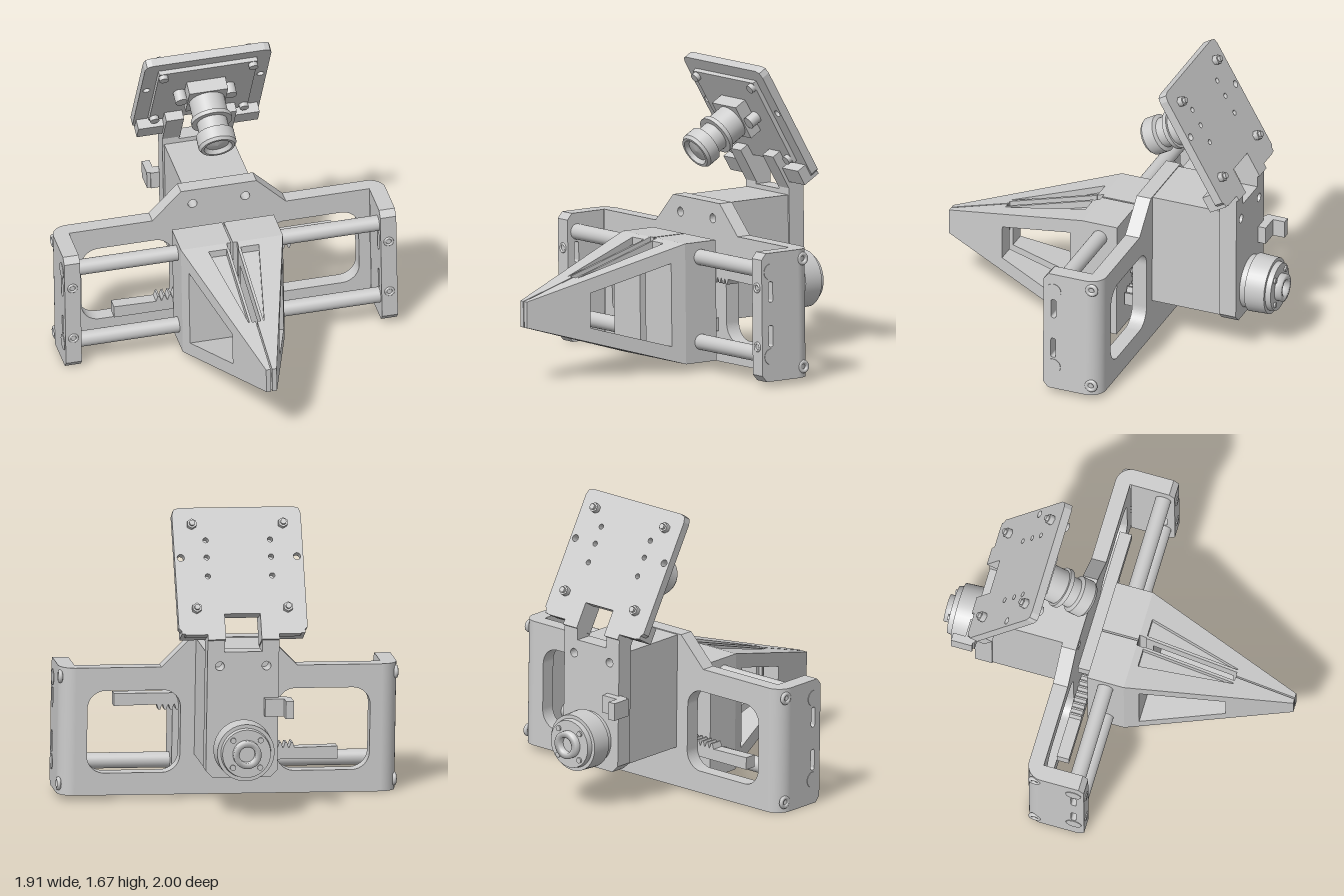
import * as THREE from 'three';

const grey = new THREE.MeshStandardMaterial({ color: 0xcccccc, side: THREE.DoubleSide });

function add(parent, name, geometry, x = 0, y = 0, z = 0) {
  const mesh = new THREE.Mesh(geometry, grey);
  mesh.name = name;
  mesh.position.set(x, y, z);
  parent.add(mesh);
  return mesh;
}

// Box given by its lower and upper corners
function block(parent, name, [x0, y0, z0], [x1, y1, z1]) {
  return add(parent, name, new THREE.BoxGeometry(x1 - x0, y1 - y0, z1 - z0),
    (x0 + x1) / 2, (y0 + y1) / 2, (z0 + z1) / 2);
}

// Cylinder along z from z0 to z1
function rod(parent, name, r0, r1, x, y, z0, z1, sides = 32) {
  const g = new THREE.CylinderGeometry(r1, r0, z1 - z0, sides).rotateX(Math.PI / 2);
  return add(parent, name, g, x, y, (z0 + z1) / 2);
}

const poly = (pts) => new THREE.Shape(pts.map(([x, y]) => new THREE.Vector2(x, y)));
const circle = (x, y, r) => new THREE.Path().absarc(x, y, r, 0, Math.PI * 2, true);
const extrude = (shape, depth) =>
  new THREE.ExtrudeGeometry(shape, { depth, bevelEnabled: false, curveSegments: 10 });

function roundRect(x0, y0, x1, y1, r, Type = THREE.Shape) {
  const p = new Type(), q = Math.PI / 2;
  p.absarc(x1 - r, y0 + r, r, -q, 0);
  p.absarc(x1 - r, y1 - r, r, 0, q);
  p.absarc(x0 + r, y1 - r, r, q, 2 * q);
  p.absarc(x0 + r, y0 + r, r, 2 * q, 3 * q);
  p.closePath();
  return p;
}

// Side profile of [z, y] points, stretched in x between inner(z) and outer(z)
function sideSlab(pts, hole, inner, outer) {
  const flip = (list) => list.map(([z, y]) => [-z, y]);
  const shape = poly(flip(pts));
  if (hole) shape.holes.push(poly(flip(hole)));
  const g = extrude(shape, 1).rotateY(Math.PI / 2);
  const p = g.attributes.position;
  for (let i = 0; i < p.count; i++) {
    const z = p.getZ(i);
    p.setX(i, THREE.MathUtils.lerp(inner(z), outer(z), p.getX(i)));
  }
  g.computeVertexNormals();
  return g;
}

// One gripper finger on the +x side
function makeFinger() {
  const f = new THREE.Group();
  block(f, 'jawBlock', [0.005, 0.04, -0.11], [0.29, 0.715, 0.1]);
  const width = (z) => 0.29 - (z - 0.1) * 0.289;
  const top = (z) => 0.715 - (z - 0.1) * 0.294;
  const low = (z) => 0.04 + (z - 0.1) * 0.294;
  const pocket = (z) => 0.145 - (z - 0.13) * 0.19;
  const part = (a, b, cut = 0) =>
    [[a, low(a) + cut], [b, low(b) + cut], [b, top(b) - cut], [a, top(a) - cut]];
  const hole = [[0.18, 0.145], [0.18, 0.61], [0.64, 0.475], [0.64, 0.28]];
  const flat = (x) => () => x;
  add(f, 'fingerHeel', sideSlab(part(0.1, 0.14), null, flat(0.03), width));
  add(f, 'fingerOuterRail', sideSlab(part(0.14, 0.66), hole, pocket, width));
  add(f, 'fingerInnerRail', sideSlab(part(0.14, 0.66), hole, flat(0.025), flat(0.04)));
  add(f, 'fingerPocketFloor', sideSlab(part(0.14, 0.66, 0.04), hole, flat(0.04), pocket));
  add(f, 'fingerTip', sideSlab(part(0.66, 1), null, flat(0.004), width));
  return f;
}

// End arm of the frame on the +x side, with keyhole slots
function makeEndArm() {
  const arm = new THREE.Group();
  const s = poly([[-0.06, 0.05], [-0.03, 0.015], [0.19, 0.015], [0.19, 0.735], [-0.03, 0.735], [-0.06, 0.7]]);
  for (const [y0, y1] of [[0.46, 0.575], [0.21, 0.33]]) s.holes.push(roundRect(-0.015, y0, 0.015, y1, 0.012, THREE.Path));
  add(arm, 'endArm', extrude(s, 0.09).rotateY(Math.PI / 2), 0.855);
  const corner = new THREE.CylinderGeometry(0.09, 0.09, 0.72, 12, 1, false, Math.PI / 2, Math.PI / 2);
  add(arm, 'frameCorner', corner, 0.855, 0.375, -0.19);
  for (const y of [0.155, 0.63]) {
    add(arm, 'rodEnd', new THREE.CylinderGeometry(0.045, 0.045, 0.004, 24).rotateZ(Math.PI / 2), 0.946, y, 0);
  }
  for (const y of [0.075, 0.68]) {
    add(arm, 'cornerScrew', new THREE.TorusGeometry(0.026, 0.012, 8, 20).rotateY(Math.PI / 2), 0.938, y, -0.225);
  }
  for (const y of [0.21, 0.54]) add(arm, 'armScrew', new THREE.TorusGeometry(0.022, 0.007, 8, 20), 0.9, y, 0.06);
  return arm;
}

// Toothed rack, teeth upwards, running from x0 to x1
function rackGeometry(x0, x1) {
  const pts = [[x1, 0.26], [x1, 0.185], [x0, 0.185], [x0, 0.255]], pitch = 0.033;
  for (let x = x0 + 0.24; x + pitch < x1; x += pitch) {
    pts.push([x, 0.25], [x + 0.01, 0.28], [x + 0.02, 0.28], [x + 0.03, 0.25]);
  }
  return extrude(poly(pts), 0.07);
}

function makeCamera() {
  const cam = new THREE.Group();
  cam.name = 'camera';
  // mounting plate with notch for the bracket opening
  const s = poly([[-0.36, -0.33], [-0.32, -0.37], [-0.11, -0.37], [-0.11, -0.25], [0.11, -0.25], [0.11, -0.37],
    [0.32, -0.37], [0.36, -0.33], [0.36, 0.33], [0.35, 0.36], [0.32, 0.37], [-0.32, 0.37], [-0.35, 0.36], [-0.36, 0.33]]);
  for (const sx of [-1, 1]) {
    for (const v of [-0.03, 0.08, 0.18]) s.holes.push(circle(sx * 0.18, v, 0.015));
    s.holes.push(circle(sx * 0.325, 0.08, 0.02));
  }
  add(cam, 'cameraPlate', extrude(s, 0.05));
  block(cam, 'circuitBoard', [-0.28, -0.25, 0.05], [0.28, 0.3, 0.075]);
  for (const sx of [-1, 1]) {
    const x = (a, b) => (sx > 0 ? [a, b] : [-b, -a]);
    const [a0, a1] = x(0.1, 0.2), [t0, t1] = x(0.2, 0.345);
    block(cam, 'bracketArm', [a0, -0.4, 0], [a1, -0.18, 0.13]);
    block(cam, 'plateFoot', [t0, -0.365, 0], [t1, -0.27, 0.11]);
    for (const v of [-0.22, 0.27]) {
      rod(cam, 'boardScrew', 0.016, 0.016, sx * 0.255, v, -0.045, 0.1, 12);
      rod(cam, 'screwNut', 0.028, 0.028, sx * 0.255, v, -0.03, 0, 6);
      rod(cam, 'screwHead', 0.026, 0.026, sx * 0.255, v, 0.075, 0.1, 16);
    }
    rod(cam, 'lensMountEar', 0.035, 0.035, sx * 0.14, 0.05, 0.075, 0.14, 16);
  }
  block(cam, 'lensMount', [-0.11, -0.05, 0.075], [0.11, 0.16, 0.15]);
  // lens barrel
  const r = [[0, 0.14], [0.1, 0.14], [0.1, 0.26], [0.115, 0.26], [0.115, 0.285], [0.085, 0.285], [0.085, 0.35],
    [0.107, 0.36], [0.107, 0.43], [0.095, 0.447], [0.08, 0.447], [0.065, 0.425], [0, 0.435]];
  // separate straight bands keep the steps crisp
  for (let i = 0; i + 1 < r.length; i++) {
    const band = [r[i], r[i + 1]].map(([a, b]) => new THREE.Vector2(a, b));
    add(cam, 'lensBarrel', new THREE.LatheGeometry(band, 36).rotateX(Math.PI / 2), 0, 0.05);
  }
  cam.position.set(0, 1.34, -0.6);
  cam.rotation.x = Math.PI / 6;
  return cam;
}

export function createModel() {
  const model = new THREE.Group();
  model.name = 'cameraGripper';

  // Frame back plate with raised middle and two windows
  const plate = poly([[-0.855, 0.015], [0.855, 0.015], [0.855, 0.735], [0.38, 0.735], [0.215, 0.9],
    [-0.215, 0.9], [-0.38, 0.735], [-0.855, 0.735]]);
  for (const x of [-0.79, 0.27]) plate.holes.push(roundRect(x, 0.14, x + 0.52, 0.605, 0.1, THREE.Path));
  for (const x of [-0.15, 0.15]) plate.holes.push(circle(x, 0.81, 0.026));
  add(model, 'framePlate', extrude(plate, 0.085), 0, 0, -0.28);

  // Mirrored arms and fingers
  for (const [name, make] of [['endArm', makeEndArm], ['finger', makeFinger]]) {
    for (const side of [1, -1]) {
      const g = make();
      g.name = (side > 0 ? 'left ' : 'right ') + name;
      g.scale.x = side;
      model.add(g);
    }
  }

  // Guide rods
  for (const y of [0.155, 0.63]) {
    add(model, 'guideRod', new THREE.CylinderGeometry(0.044, 0.044, 1.74, 28).rotateZ(Math.PI / 2), 0, y, -0.005);
  }

  // Racks and pinion
  add(model, 'lowerRack', rackGeometry(-0.625, 0.2), 0, 0, -0.19);
  const upper = add(model, 'upperRack', rackGeometry(-0.63, 0.2), 0, 0.755, -0.12);
  upper.rotation.z = Math.PI;
  upper.position.z = -0.19;
  const teeth = [];
  for (let i = 0; i < 72; i++) {
    const a = (i / 72) * Math.PI * 2, rad = i % 4 < 2 ? 0.12 : 0.095;
    teeth.push([rad * Math.cos(a), rad * Math.sin(a)]);
  }
  add(model, 'pinion', extrude(poly(teeth), 0.07), 0, 0.38, -0.19);
  rod(model, 'pinionHub', 0.06, 0.06, 0, 0.38, -0.28, -0.115);

  // Motor, rear bracket and hub
  block(model, 'motor', [-0.19, 0.24, -0.69], [0.19, 0.895, -0.28]);
  const rear = poly([[-0.16, 0.21], [0.16, 0.21], [0.2, 0.25], [0.2, 1.01], [0.105, 1.01], [0.105, 0.92],
    [-0.105, 0.92], [-0.105, 1.01], [-0.2, 1.01], [-0.2, 0.25]]);
  for (const x of [-0.13, 0.13]) rear.holes.push(circle(x, 0.84, 0.025));
  add(model, 'rearBracket', extrude(rear, 0.1), 0, 0, -0.785);
  block(model, 'cableHookBase', [-0.25, 0.56, -0.83], [-0.12, 0.66, -0.77]);
  block(model, 'cableHook', [-0.27, 0.56, -0.9], [-0.225, 0.66, -0.78]);
  rod(model, 'hubBase', 0.15, 0.15, 0, 0.38, -0.83, -0.78, 40);
  rod(model, 'hubDrum', 0.16, 0.165, 0, 0.38, -0.935, -0.82, 40);
  rod(model, 'hubStep', 0.135, 0.14, 0, 0.38, -0.965, -0.935, 40);
  add(model, 'hubCollar', new THREE.LatheGeometry([[0.045, -0.96], [0.045, -1], [0.078, -1], [0.078, -0.96]]
    .map(([a, b]) => new THREE.Vector2(a, b)), 32).rotateX(Math.PI / 2), 0, 0.38);
  for (let i = 0; i < 4; i++) {
    const a = Math.PI / 4 + i * Math.PI / 2;
    rod(model, 'hubScrew', 0.016, 0.016, 0.108 * Math.cos(a), 0.38 + 0.108 * Math.sin(a), -0.975, -0.96, 12);
  }

  model.add(makeCamera());

  // The whole assembly leans very slightly
  model.rotation.z = 0.016;
  const root = new THREE.Group();
  root.name = 'gripperAssembly';
  root.add(model);
  return root;
}
